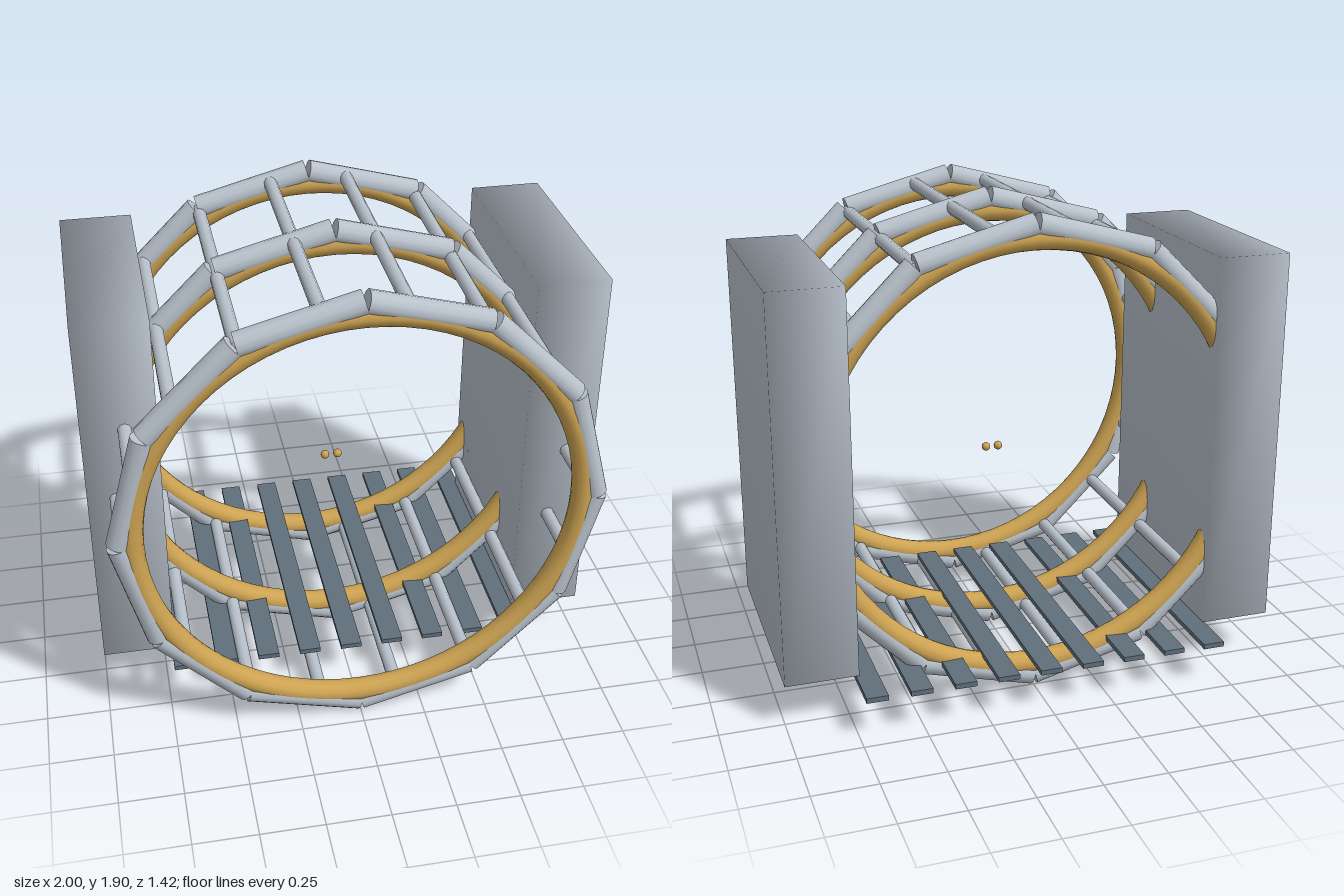
import * as THREE from 'three';
import { mergeVertices } from 'three/addons/utils/BufferGeometryUtils.js';

export function createModel() {
  const model = new THREE.Group();
  model.name = 'ringedTunnel';
  const silver = new THREE.MeshStandardMaterial({ color: 0xb9c2cc });
  silver.name = 'silver';
  const gold = new THREE.MeshStandardMaterial({ color: 0xcda352 });
  gold.name = 'gold';
  const slate = new THREE.MeshStandardMaterial({ color: 0x5f6f7b });
  slate.name = 'slate';

  const CY = 0.95, R = 0.904, TUBE = 0.047;

  function add(parent, name, geometry, material, x, y, z) {
    const mesh = new THREE.Mesh(geometry, material);
    mesh.name = name;
    mesh.position.set(x, y, z);
    parent.add(mesh);
    return mesh;
  }

  // Three twelve-sided hoops, each with a gold lining
  const SIDES = 12;
  const apothem = R * Math.cos(Math.PI / SIDES);
  const segment = new THREE.CylinderGeometry(TUBE, TUBE, 0.462, 12);
  const lining = new THREE.TorusGeometry(0.855, 0.045, 12, 72);
  for (const z of [0.66, 0.09, -0.48]) {
    const hoop = new THREE.Group();
    hoop.name = 'hoop';
    hoop.position.set(0, CY, z);
    for (let i = 0; i < SIDES; i++) {
      const a = ((i + 0.5) / SIDES) * Math.PI * 2;
      const tube = add(hoop, 'hoopSegment', segment, silver, apothem * Math.cos(a), apothem * Math.sin(a), 0);
      tube.rotation.z = a;
    }
    add(hoop, 'hoopLining', lining, gold, 0, 0, 0);
    model.add(hoop);
  }

  // Lengthwise bars joining the hoops
  const bar = new THREE.CylinderGeometry(0.027, 0.027, 1.14, 10);
  bar.rotateX(Math.PI / 2);
  for (let i = 0; i < 18; i++) {
    const a = (i / 18) * Math.PI * 2;
    add(model, 'lengthwiseBar', bar, silver, 0.89 * Math.cos(a), CY + 0.89 * Math.sin(a), 0.09);
  }

  // Side panels, with shared corners so the shading runs softly across the faces
  let panel = new THREE.BoxGeometry(0.285, 1.512, 0.913);
  panel.deleteAttribute('normal');
  panel.deleteAttribute('uv');
  panel = mergeVertices(panel);
  panel.computeVertexNormals();
  for (const side of [-1, 1]) {
    add(model, side > 0 ? 'leftPanel' : 'rightPanel', panel, silver, side * 0.8575, 0.94, -0.0865);
  }

  // Floor slats
  const slat = new THREE.BoxGeometry(0.085, 0.02, 1.196);
  for (let i = -4; i <= 4; i++) {
    add(model, 'floorSlat', slat, slate, i * 0.171, 0.168, -0.113);
  }

  // Pair of small beads in the middle
  const bead = new THREE.SphereGeometry(0.018, 12, 8);
  for (const side of [-1, 1]) add(model, 'bead', bead, gold, side * 0.026, 0.827, 0.042);

  return model;
}
